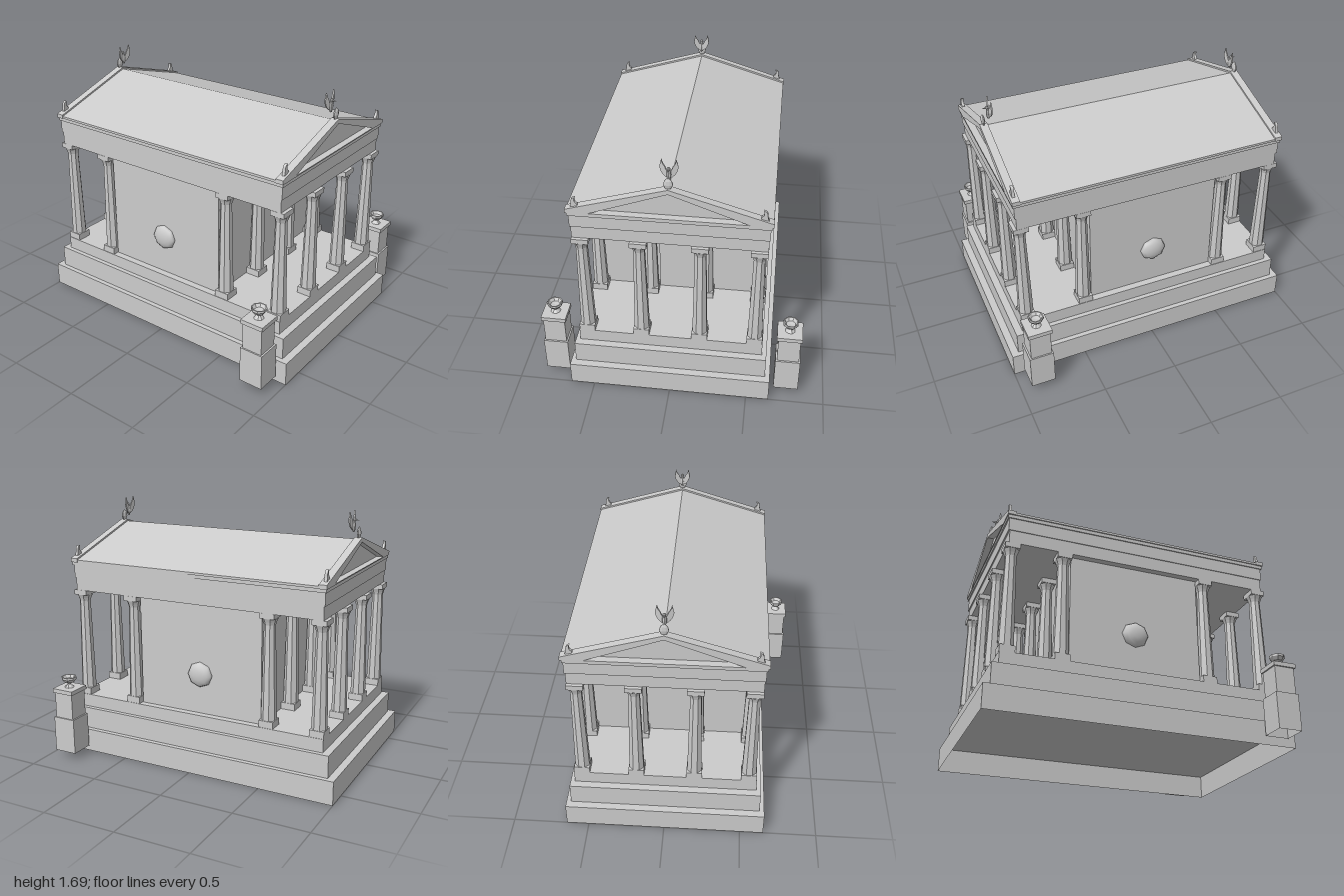
import * as THREE from 'three';

const mat = new THREE.MeshStandardMaterial({ color: 0xcccccc, flatShading: true, side: THREE.DoubleSide });
const smooth = new THREE.MeshStandardMaterial({ color: 0xcccccc });

function add(parent, name, geometry, x = 0, y = 0, z = 0, material = mat) {
  const mesh = new THREE.Mesh(geometry, material);
  mesh.name = name;
  mesh.position.set(x, y, z);
  parent.add(mesh);
  return mesh;
}

// Box given by its width, depth and bottom/top heights; optionally open below
function block(parent, name, w, d, y0, y1, x = 0, z = 0, open = false) {
  const g = new THREE.BoxGeometry(w, y1 - y0, d);
  if (open) {
    const index = Array.from(g.index.array);
    index.splice(18, 6);
    g.setIndex(index);
  }
  return add(parent, name, g, x, (y0 + y1) / 2, z);
}

// Faceted turned part, turned so that a flat side faces front
function turned(points, sides = 8) {
  const g = new THREE.LatheGeometry(points.map(([r, y]) => new THREE.Vector2(r, y)), sides);
  return g.rotateY(Math.PI / sides);
}

function extrude(shape, depth) {
  const g = new THREE.ExtrudeGeometry(shape, { depth, bevelEnabled: false, curveSegments: 6 });
  return g.translate(0, 0, -depth / 2);
}

const polygon = (pts) => new THREE.Shape(pts.map(([x, y]) => new THREE.Vector2(x, y)));

const shaftGeometry = turned([[0.05, 0.43], [0.037, 1.03], [0.037, 1.05], [0.043, 1.07], [0.053, 1.094]]);

function createColumn(x, z) {
  const column = new THREE.Group();
  column.name = 'column';
  block(column, 'columnPlinth', 0.1, 0.096, 0.39, 0.435);
  add(column, 'columnShaft', shaftGeometry);
  block(column, 'columnCapital', 0.104, 0.096, 1.094, 1.127);
  column.position.set(x, 0, z);
  return column;
}

// Curled leaf for the roof corners
function createCornerOrnament() {
  const s = new THREE.Shape();
  s.moveTo(-0.022, 0);
  s.lineTo(0.022, 0);
  s.quadraticCurveTo(0.026, 0.022, 0.01, 0.032);
  s.quadraticCurveTo(0.002, 0.045, 0.01, 0.066);
  s.quadraticCurveTo(-0.012, 0.064, -0.014, 0.04);
  s.quadraticCurveTo(-0.014, 0.02, -0.022, 0);
  return extrude(s, 0.018);
}

// Winged figure standing on an urn at the gable peak
function createPeakOrnament() {
  const group = new THREE.Group();
  group.name = 'peakOrnament';
  const urn = add(group, 'urn', turned([[0, 0], [0.016, 0.002], [0.03, 0.03], [0.024, 0.055], [0.01, 0.07], [0, 0.075]]), 0, 0, 0.022);
  urn.scale.z = 0.4;
  const body = add(group, 'figureBody', new THREE.SphereGeometry(1, 8, 6), 0, 0.075, -0.015);
  body.scale.set(0.014, 0.04, 0.014);
  add(group, 'figureHead', new THREE.SphereGeometry(0.011, 8, 6), 0, 0.115, -0.01);
  const beak = add(group, 'beak', new THREE.ConeGeometry(0.006, 0.03, 5), 0, 0.113, 0.008);
  beak.rotation.x = Math.PI / 2;

  const w = new THREE.Shape();
  w.moveTo(0.006, 0.05);
  w.quadraticCurveTo(0.046, 0.065, 0.055, 0.12);
  w.lineTo(0.044, 0.168);
  w.quadraticCurveTo(0.04, 0.142, 0.024, 0.125);
  w.quadraticCurveTo(0.016, 0.1, 0.004, 0.09);
  for (const side of [-1, 1]) {
    const wing = add(group, 'wing', extrude(w, 0.009), 0, 0, -0.018);
    wing.rotation.y = side > 0 ? 0.2 : Math.PI - 0.2;
  }
  return group;
}

function createPedestal(x) {
  const p = new THREE.Group();
  p.name = 'pedestal';
  block(p, 'pedestalBase', 0.158, 0.158, 0.05, 0.29, 0, 0, true);
  block(p, 'pedestalShaft', 0.14, 0.136, 0.29, 0.465);
  block(p, 'pedestalCap', 0.16, 0.156, 0.465, 0.493);
  add(p, 'fireBowl', turned([[0.032, 0.493], [0.012, 0.515], [0.012, 0.522], [0.034, 0.53],
    [0.05, 0.552], [0.05, 0.567], [0.043, 0.567], [0.03, 0.548], [0, 0.543]]));
  p.position.set(x, 0, 0.858);
  return p;
}

export function createModel() {
  const model = new THREE.Group();
  model.name = 'temple';
  const temple = new THREE.Group();
  temple.name = 'building';
  temple.position.x = -0.004;
  model.add(temple);

  // Stepped base, hollow below
  block(temple, 'lowerStep', 1.3, 2, 0, 0.157, 0, 0, true);
  block(temple, 'middleStep', 1.238, 1.904, 0.157, 0.303);
  block(temple, 'upperStep', 1.18, 1.81, 0.303, 0.39);

  // Inner chamber with door and round side shields
  block(temple, 'chamber', 1.09, 0.877, 0.39, 1.127, 0, -0.0315);
  block(temple, 'door', 0.27, 0.012, 0.39, 0.826, 0, 0.411);
  for (const side of [-1, 1]) {
    const shield = add(temple, 'shield', new THREE.SphereGeometry(1, 8, 8).rotateZ(Math.PI / 2),
      side * 0.545, 0.655, -0.035, smooth);
    shield.scale.set(0.042, 0.085, 0.088);
  }

  // Four rows of four columns
  for (const z of [0.858, 0.46, -0.52, -0.858]) {
    for (const x of [-0.537, -0.186, 0.186, 0.537]) temple.add(createColumn(x, z));
  }

  // Beams and cornice
  block(temple, 'architrave', 1.176, 1.768, 1.127, 1.213);
  block(temple, 'frieze', 1.186, 1.784, 1.213, 1.297);
  block(temple, 'cornice', 1.2, 1.8, 1.297, 1.321);

  // Roof prism, whose ends are the recessed gable walls
  add(temple, 'roof', extrude(polygon([[-0.607, 1.32], [0.607, 1.32], [0.607, 1.335], [0, 1.518], [-0.607, 1.335]]), 1.72));

  // Raised gable frames and ornaments at both ends
  const frame = polygon([[-0.61, 1.319], [0.61, 1.319], [0.61, 1.345], [0, 1.53], [-0.61, 1.345]]);
  frame.holes.push(polygon([[-0.47, 1.326], [0, 1.5], [0.47, 1.326]]));
  const frameGeometry = extrude(frame, 0.05);
  const cornerGeometry = createCornerOrnament();
  for (const end of [1, -1]) {
    const gable = new THREE.Group();
    gable.name = end > 0 ? 'frontGable' : 'backGable';
    gable.rotation.y = end > 0 ? 0 : Math.PI;
    add(gable, 'gableFrame', frameGeometry, 0, 0, 0.88);
    for (const side of [-1, 1]) {
      const leaf = add(gable, 'cornerOrnament', cornerGeometry, side * 0.555, 1.358, 0.883);
      leaf.rotation.y = side > 0 ? Math.PI : 0;
    }
    const peak = createPeakOrnament();
    peak.position.set(0, 1.523, 0.86);
    gable.add(peak);
    temple.add(gable);
  }

  // Free-standing pedestals beside the front
  for (const side of [-1, 1]) model.add(createPedestal(side * 0.753));
  return model;
}
